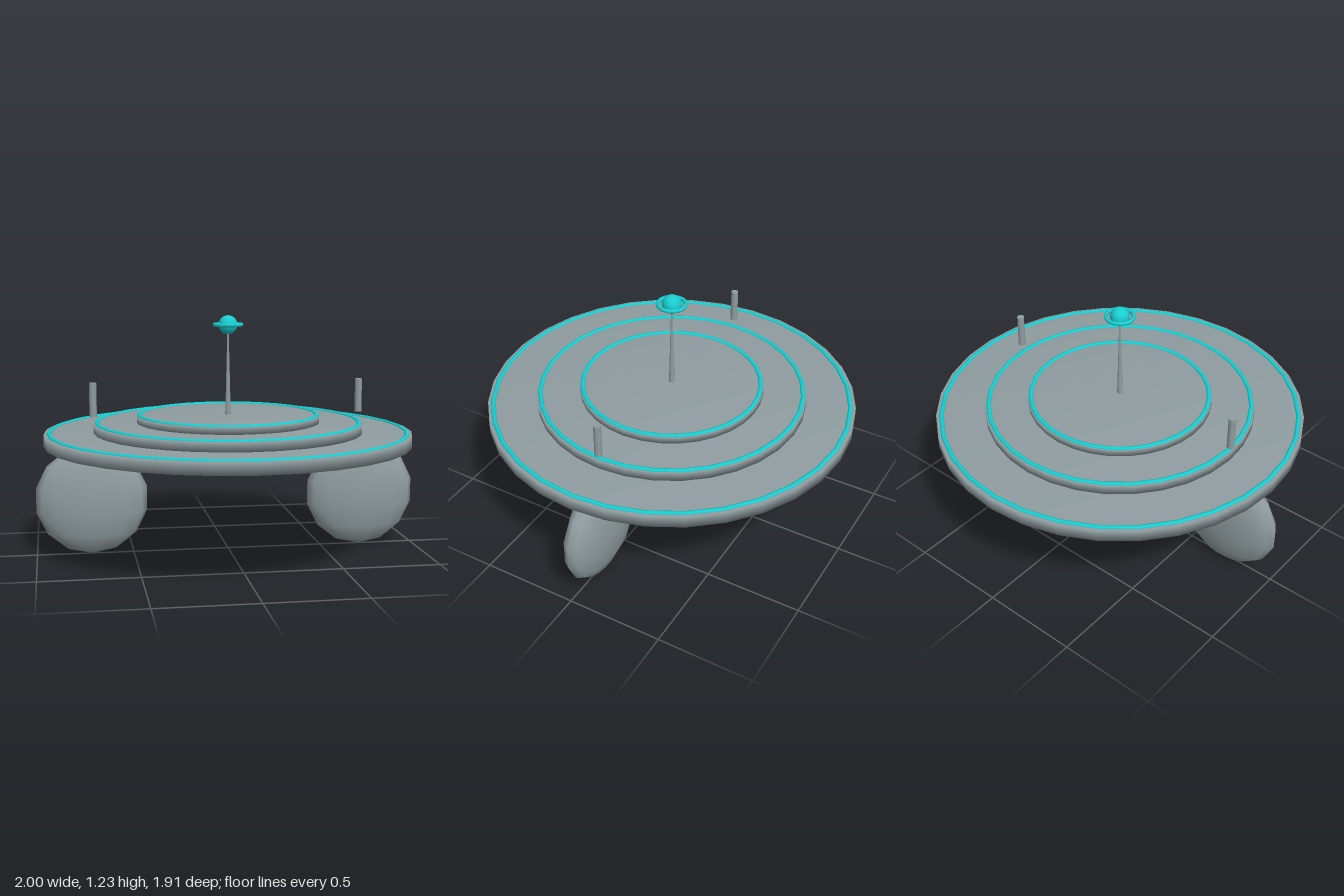
import * as THREE from 'three';

const grey = new THREE.MeshStandardMaterial({ color: 0x8f9c9f });
grey.name = 'hull grey';
const cyan = new THREE.MeshStandardMaterial({ color: 0x18ced0 });
cyan.name = 'trim cyan';

export function createModel() {
  const model = new THREE.Group();
  model.name = 'discShip';

  const add = (name, geometry, material, x = 0, y = 0, z = 0) => {
    const mesh = new THREE.Mesh(geometry, material);
    mesh.name = name;
    mesh.position.set(x, y, z);
    model.add(mesh);
    return mesh;
  };
  const flatTorus = (radius, tube, segments) =>
    new THREE.TorusGeometry(radius, tube, 8, segments).rotateX(Math.PI / 2);

  // Stacked hull tiers with softly shaded rims, each trimmed by a glowing ring
  const tiers = [
    { name: 'lower', radius: 0.955, bottom: 0.57, top: 0.632, ring: 0.928 },
    { name: 'middle', radius: 0.7, bottom: 0.632, top: 0.68, ring: 0.682 },
    { name: 'upper', radius: 0.476, bottom: 0.68, top: 0.717, ring: 0.462 },
  ];
  for (const { name, radius, bottom, top, ring } of tiers) {
    const profile = [[0, bottom], [radius, bottom], [radius, top], [0, top]]
      .map(([x, y]) => new THREE.Vector2(x, y));
    add(name + 'Hull', new THREE.LatheGeometry(profile, 32), grey);
    add(name + 'Ring', flatTorus(ring, 0.013, 32), cyan, 0, top - 0.003);
  }

  // Antenna mast topped by a ringed orb
  add('mast', new THREE.CylinderGeometry(0.004, 0.015, 0.43, 12), grey, 0, 0.925);
  add('orb', new THREE.SphereGeometry(0.049, 16, 12), cyan, 0, 1.183);
  add('orbRing', flatTorus(0.07, 0.01, 24), cyan, 0, 1.183);

  // Paired engine pods below and hovering posts above
  for (const [side, s] of [['left', 1], ['right', -1]]) {
    const pod = add(side + 'Pod', new THREE.SphereGeometry(1, 14, 7), grey, s * 0.714, 0.287, 0);
    pod.scale.set(0.293, 0.287, 0.094);
    add(side + 'Post', new THREE.CylinderGeometry(0.019, 0.019, 0.175, 12), grey, s * 0.7, 0.805);
  }

  return model;
}
